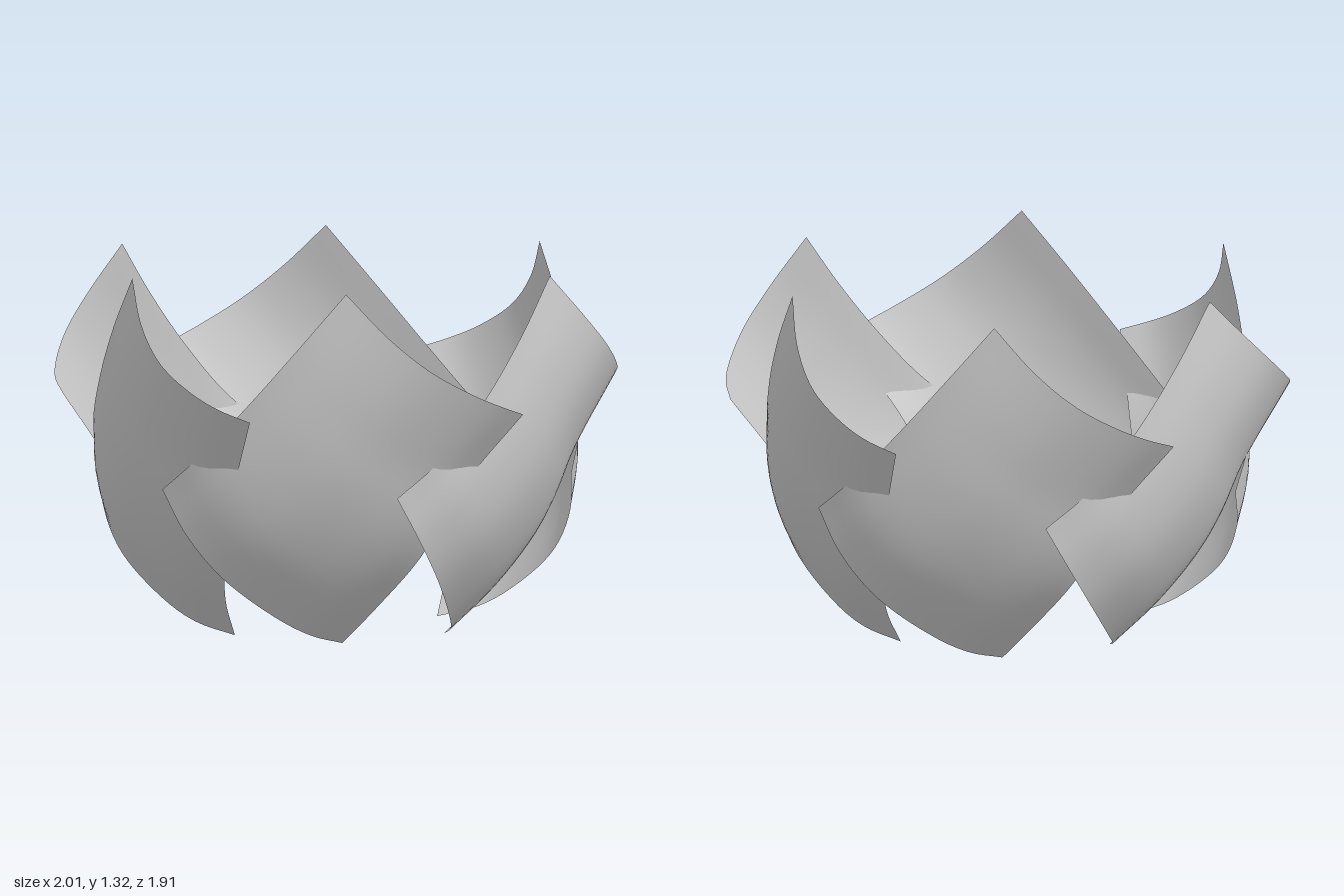
import * as THREE from 'three';

const curve = (points) =>
  new THREE.CatmullRomCurve3(points.map((p) => new THREE.Vector3(...p)), false, 'centripetal');

// Four corners of one petal: left, top, right, bottom
const left = [-0.61, 0.58, 0.62];
const top = [0.05, 1.32, 0.86];
const right = [0.68, 0.87, 0.73];
const bottom = [0.03, 0, 0.43];

// Its four curved edges
const upperLeft = curve([left, [-0.47, 0.72, 0.73], [-0.3, 0.91, 0.8], [-0.12, 1.12, 0.843], top]);
const lowerRight = curve([bottom, [0.16, 0.15, 0.54], [0.3, 0.32, 0.62], [0.38, 0.45, 0.655],
  [0.47, 0.61, 0.675], right]);
const lowerLeft = curve([left, [-0.53, 0.43, 0.66], [-0.4, 0.27, 0.66], [-0.2, 0.11, 0.59],
  [-0.08, 0.04, 0.525], bottom]);
const upperRight = curve([top, [0.2, 1.17, 0.905], [0.35, 1.05, 0.91], [0.5, 0.96, 0.865],
  [0.6, 0.91, 0.81], right]);

// Curved sheet spanned between the four edges
function petalGeometry(n) {
  const positions = [];
  const index = [];
  const corners = [left, top, bottom, right].map((p) => new THREE.Vector3(...p));
  for (let j = 0; j <= n; j++) {
    for (let i = 0; i <= n; i++) {
      const s = i / n;
      const t = j / n;
      const p = new THREE.Vector3()
        .addScaledVector(upperLeft.getPointAt(s), 1 - t)
        .addScaledVector(lowerRight.getPointAt(s), t)
        .addScaledVector(lowerLeft.getPointAt(t), 1 - s)
        .addScaledVector(upperRight.getPointAt(t), s)
        .addScaledVector(corners[0], -(1 - s) * (1 - t))
        .addScaledVector(corners[1], -s * (1 - t))
        .addScaledVector(corners[2], -(1 - s) * t)
        .addScaledVector(corners[3], -s * t);
      positions.push(p.x, p.y, p.z);
      if (i < n && j < n) {
        const a = j * (n + 1) + i;
        const b = a + n + 1;
        index.push(a, b, a + 1, b, b + 1, a + 1);
      }
    }
  }
  const geometry = new THREE.BufferGeometry();
  geometry.setAttribute('position', new THREE.Float32BufferAttribute(positions, 3));
  geometry.setIndex(index);
  geometry.computeVertexNormals();
  return geometry;
}

export function createModel() {
  const group = new THREE.Group();
  group.name = 'petalBowl';
  const material = new THREE.MeshStandardMaterial({ color: 0xcccccc, side: THREE.DoubleSide });
  const geometry = petalGeometry(24);

  // Six overlapping petals in a ring
  for (let k = 0; k < 6; k++) {
    const petal = new THREE.Mesh(geometry, material);
    petal.name = `petal${k + 1}`;
    petal.rotation.y = (k * Math.PI) / 3;
    group.add(petal);
  }
  return group;
}
